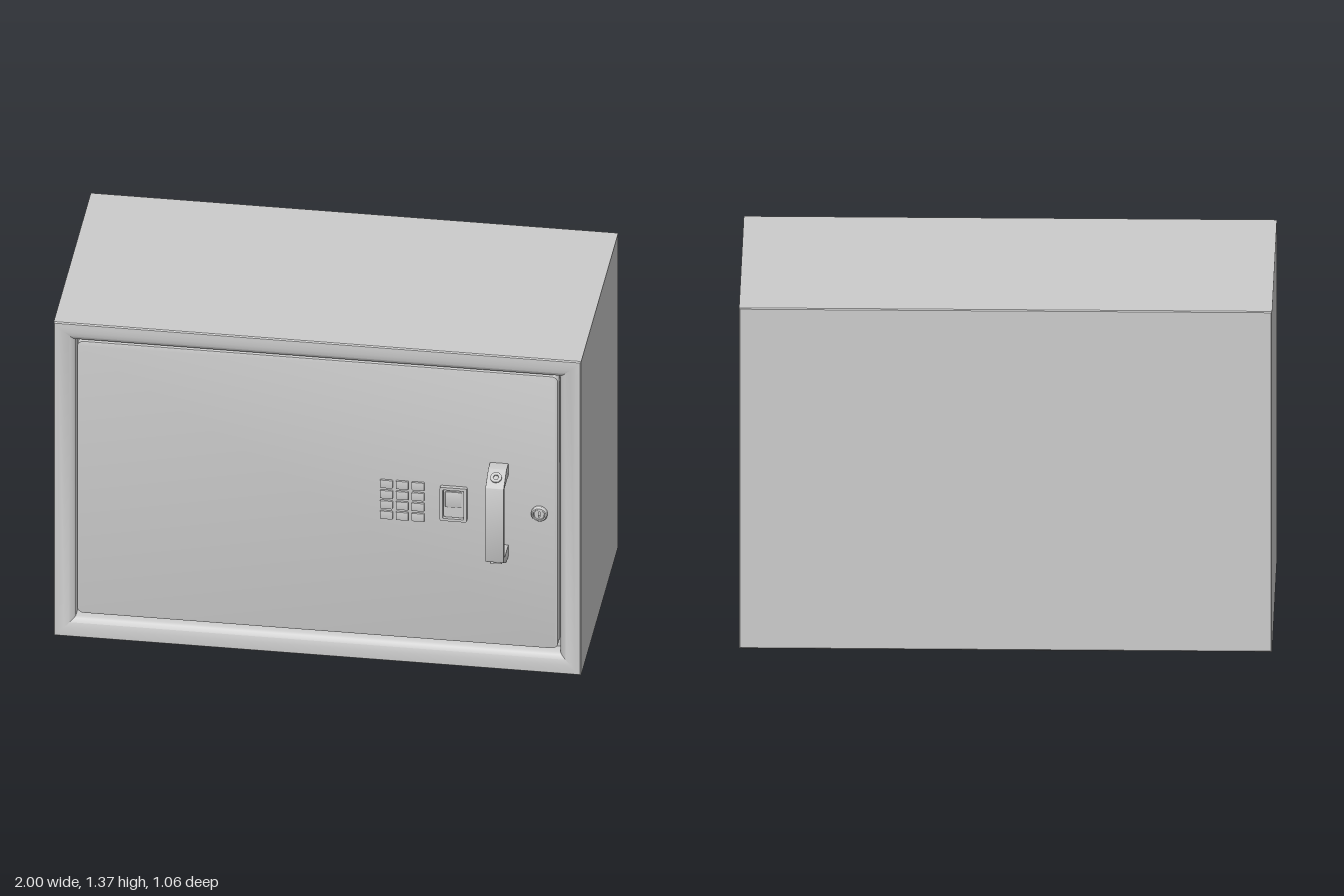
import * as THREE from 'three';
import { toCreasedNormals } from 'three/addons/utils/BufferGeometryUtils.js';

const W = 1, H = 1.37, DOOR_Z = 0.41;
const grey = new THREE.MeshStandardMaterial({ color: 0xcccccc });

function add(parent, name, geometry, x = 0, y = 0, z = 0) {
  const mesh = new THREE.Mesh(geometry, grey);
  mesh.name = name;
  mesh.position.set(x, y, z);
  parent.add(mesh);
  return mesh;
}

// Rectangle with rounded corners, centred on the origin
function roundedRect(w, h, r, Kind = THREE.Shape) {
  const s = new Kind(), x = w / 2, y = h / 2;
  s.moveTo(-x + r, -y);
  s.lineTo(x - r, -y);
  s.absarc(x - r, -y + r, r, -Math.PI / 2, 0);
  s.lineTo(x, y - r);
  s.absarc(x - r, y - r, r, 0, Math.PI / 2);
  s.lineTo(-x + r, y);
  s.absarc(-x + r, y - r, r, Math.PI / 2, Math.PI);
  s.lineTo(-x, -y + r);
  s.absarc(-x + r, -y + r, r, Math.PI, Math.PI * 1.5);
  return s;
}

// Extrusion whose bevel stays inside the outline; spans z = 0 to depth
function slab(shape, depth, bevel = 0) {
  const g = new THREE.ExtrudeGeometry(shape, {
    depth: depth - 2 * bevel, bevelEnabled: bevel > 0, bevelThickness: bevel,
    bevelSize: bevel, bevelOffset: -bevel, bevelSegments: 2, curveSegments: 6,
  });
  return toCreasedNormals(g.translate(0, 0, bevel), 0.6);
}

// Sweep of an [inset, z] profile round the case with mitred corners
function caseGeometry(profile) {
  const ring = ([d, z]) => [[-W + d, d, z], [W - d, d, z], [W - d, H - d, z], [-W + d, H - d, z]];
  const pos = [];
  for (let i = 0; i < profile.length - 1; i++) {
    const a = ring(profile[i]), b = ring(profile[i + 1]);
    for (let k = 0; k < 4; k++) {
      const n = (k + 1) % 4;
      pos.push(...a[k], ...a[n], ...b[n], ...a[k], ...b[n], ...b[k]);
    }
  }
  const g = new THREE.BufferGeometry();
  g.setAttribute('position', new THREE.Float32BufferAttribute(pos, 3));
  return toCreasedNormals(g, 0.6);
}

// Screw with a hexagonal socket, facing +z
function screw(parent, name, r) {
  const g = new THREE.Group();
  g.name = name;
  const head = new THREE.Shape().absarc(0, 0, r, 0, Math.PI * 2);
  const socket = new THREE.Path();
  for (let i = 0; i <= 6; i++) {
    const a = -i * Math.PI / 3;
    socket[i ? 'lineTo' : 'moveTo'](r * 0.5 * Math.cos(a), r * 0.5 * Math.sin(a));
  }
  head.holes.push(socket);
  add(g, 'screwHead', slab(head, 0.006));
  parent.add(g);
  return g;
}

export function createModel() {
  const model = new THREE.Group();
  model.name = 'safe';

  // Case: back, sides, curved front frame, groove and its floor
  add(model, 'case', caseGeometry([
    [H / 2, -0.53], [0.004, -0.53], [0, -0.526], [0, 0.424], [0.004, 0.429],
    [0.02, 0.43], [0.04, 0.428], [0.06, 0.422], [0.075, 0.413], [0.081, 0.403],
    [0.081, 0.36], [H / 2, 0.36],
  ]));

  // Door
  add(model, 'door', slab(roundedRect(1.824, 1.188, 0.025), 0.05, 0.004), -0.002, 0.691, DOOR_Z - 0.05);

  // Keypad, three columns of four
  const keypad = new THREE.Group();
  keypad.name = 'keypad';
  const key = slab(roundedRect(0.048, 0.035, 0.004), 0.01, 0.002);
  for (let row = 0; row < 4; row++) {
    for (let col = 0; col < 3; col++) {
      add(keypad, 'key', key, 0.26 + col * 0.06, 0.63 + row * 0.045, DOOR_Z - 0.001);
    }
  }
  model.add(keypad);

  // Switch: bezel and stepped rocker
  const control = new THREE.Group();
  control.name = 'switch';
  control.position.set(0.515, 0.702, DOOR_Z);
  const bezel = roundedRect(0.102, 0.146, 0.006);
  bezel.holes.push(roundedRect(0.08, 0.124, 0.004, THREE.Path));
  add(control, 'switchBezel', slab(bezel, 0.016));
  add(control, 'rockerBase', slab(roundedRect(0.074, 0.118, 0.004), 0.008));
  add(control, 'rockerTop', slab(roundedRect(0.062, 0.068, 0.004), 0.014, 0.002), 0, 0.02, 0);
  model.add(control);

  // Lock: bevelled ring, barrel and key slot
  const lock = new THREE.Group();
  lock.name = 'lock';
  lock.position.set(0.84, 0.686, DOOR_Z);
  const ring = [[0.022, 0], [0.031, 0], [0.031, 0.01], [0.027, 0.016], [0.022, 0.016], [0.022, 0]];
  const lathe = new THREE.LatheGeometry(ring.map(p => new THREE.Vector2(...p)), 28).rotateX(Math.PI / 2);
  add(lock, 'lockRing', toCreasedNormals(lathe, 0.5));
  const barrel = new THREE.Shape().absarc(0, 0, 0.02, 0, Math.PI * 2);
  barrel.holes.push(roundedRect(0.006, 0.024, 0.002, THREE.Path));
  add(lock, 'lockBarrel', slab(barrel, 0.012));
  model.add(lock);

  // Pull handle: side outline in (z, y), extruded across x
  const handle = new THREE.Group();
  handle.name = 'handle';
  const yMid = 0.688, out = 0.203, inn = 0.152, r = 0.018, zin = 0.512, back = DOOR_Z - 0.002;
  const s = new THREE.Shape();
  s.moveTo(back, -out);
  s.lineTo(0.455, -out);
  s.lineTo(0.522, -out + 0.038);
  s.quadraticCurveTo(0.53, -out + 0.043, 0.53, -out + 0.053);
  s.lineTo(0.53, out - 0.053);
  s.quadraticCurveTo(0.53, out - 0.043, 0.522, out - 0.038);
  s.lineTo(0.455, out);
  s.lineTo(back, out);
  s.lineTo(back, inn);
  s.lineTo(zin - r, inn);
  s.quadraticCurveTo(zin, inn, zin, inn - r);
  s.lineTo(zin, -inn + r);
  s.quadraticCurveTo(zin, -inn, zin - r, -inn);
  s.lineTo(back, -inn);
  s.closePath();
  add(handle, 'grip', slab(s, 0.07, 0.002).rotateY(-Math.PI / 2), 0.722, yMid, 0);
  for (const side of [1, -1]) {
    const bolt = screw(handle, 'handleScrew', 0.022);
    bolt.position.set(0.687, yMid + side * (out - 0.019), 0.4885);
    bolt.rotation.x = -side * Math.atan2(0.067, 0.038);
  }
  model.add(handle);

  return model;
}
